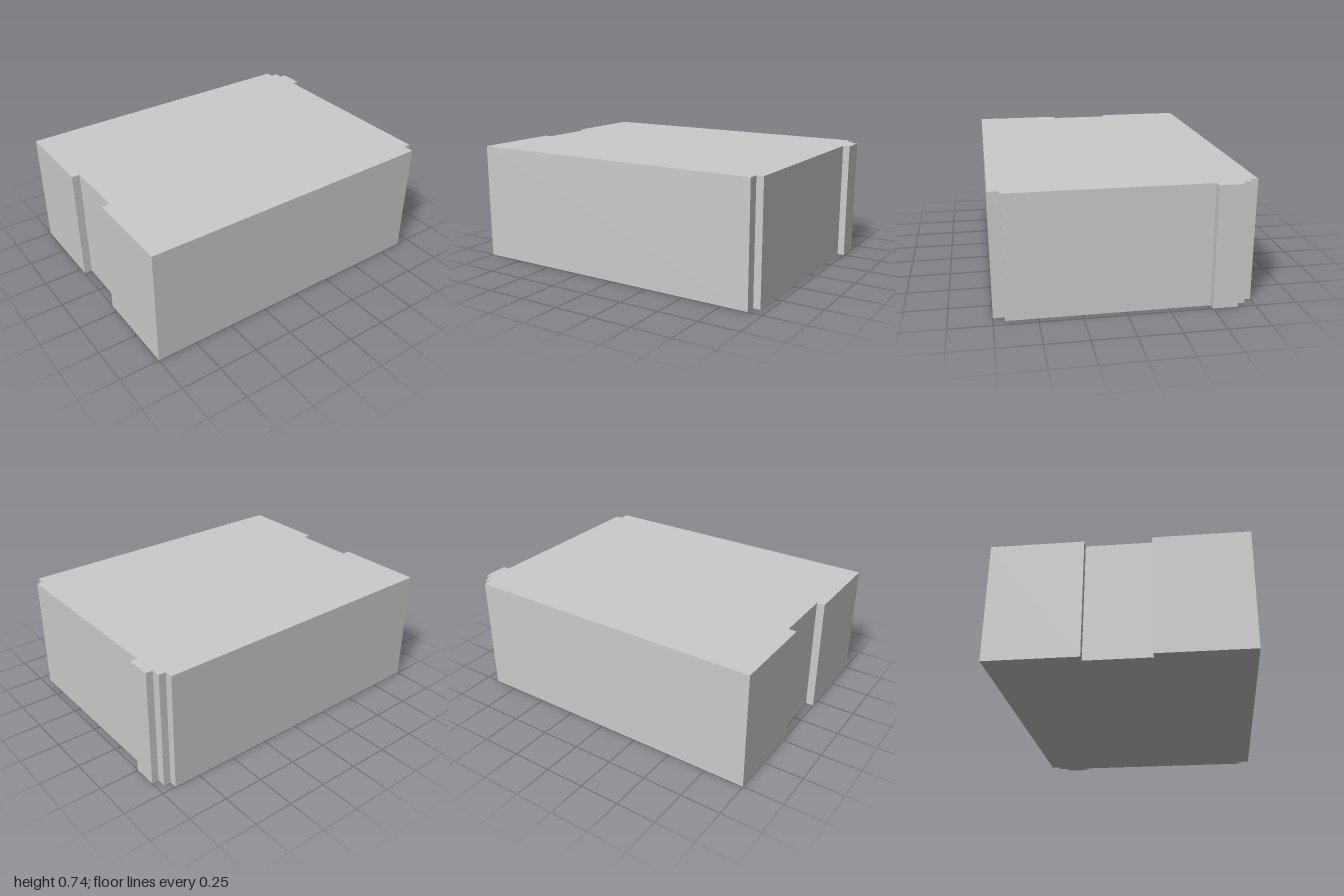
import * as THREE from 'three';

const HEIGHT = 0.737;

// Footprint corners as [x, z], walked around the block
const FOOTPRINT = [
  // front wall with its shallow recess
  [-0.75, 1], [-0.2, 1], [-0.2, 0.95], [0.19, 0.95], [0.19, 1], [0.75, 1],
  // back wall: one stepped corner, then the projecting pier and two steps
  [0.75, -0.913], [0.685, -0.913], [0.685, -0.957],
  [-0.495, -0.957], [-0.495, -1], [-0.645, -1],
  [-0.645, -0.957], [-0.7, -0.957], [-0.7, -0.913], [-0.75, -0.913],
];

export function createModel() {
  const group = new THREE.Group();
  group.name = 'building';

  // The footprint is drawn in x and -z, then stood upright
  const shape = new THREE.Shape(FOOTPRINT.map(([x, z]) => new THREE.Vector2(x, -z)));
  const geometry = new THREE.ExtrudeGeometry(shape, { depth: HEIGHT, bevelEnabled: false });
  geometry.rotateX(-Math.PI / 2);

  const block = new THREE.Mesh(
    geometry,
    new THREE.MeshStandardMaterial({ color: 0xcccccc, flatShading: true })
  );
  block.name = 'buildingBlock';
  group.add(block);
  return group;
}
